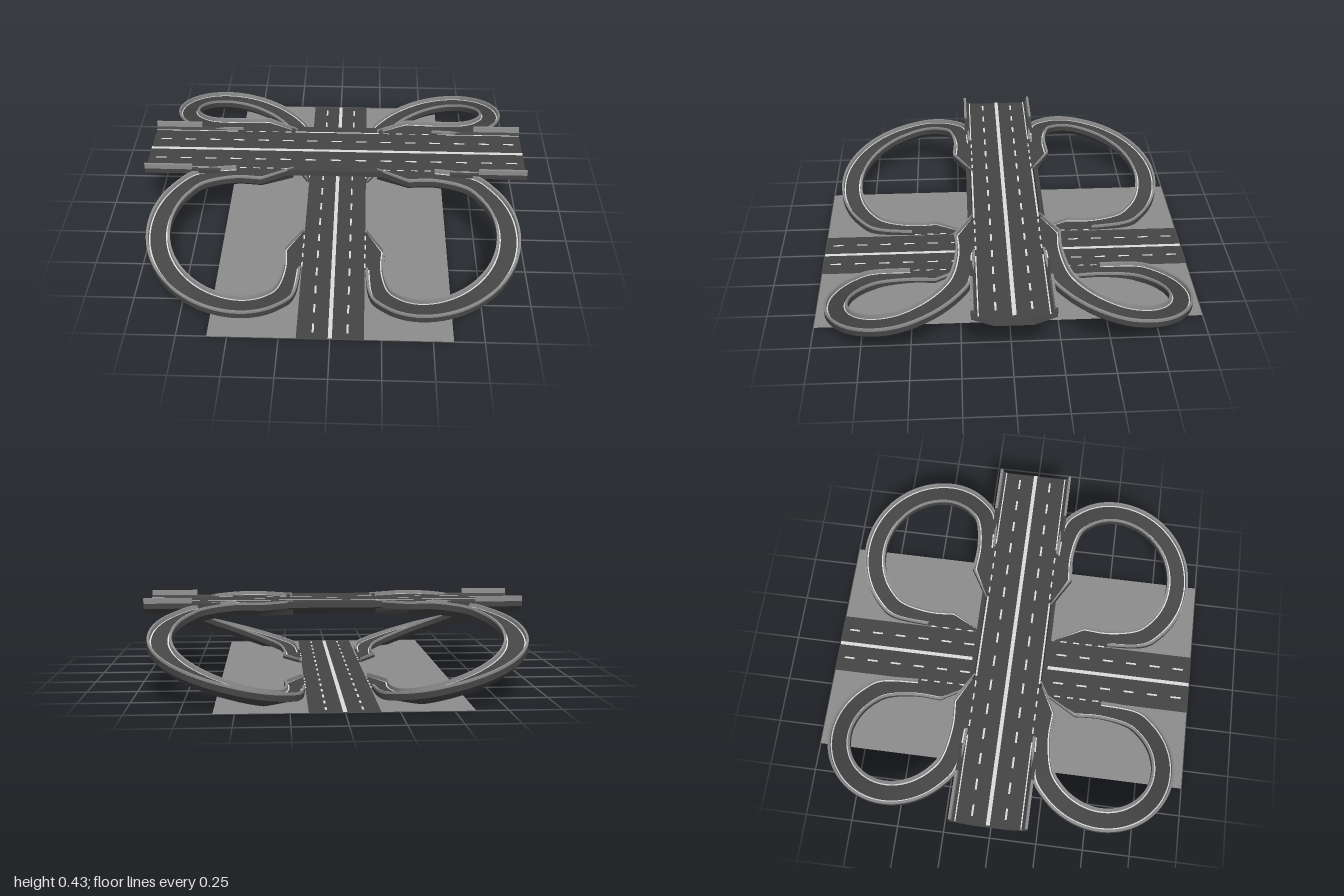
import * as THREE from 'three';

const mat = (name, color) => {
  const m = new THREE.MeshStandardMaterial({ color, side: THREE.DoubleSide });
  m.name = name;
  return m;
};

export function createModel() {
  const asphalt = mat('asphalt', 0x454545);
  const concrete = mat('concrete', 0x8c8c8c);
  const paint = mat('line paint', 0xdcdcdc);
  const root = new THREE.Group();
  const DECK = 0.39;

  const add = (parent, name, geo, m) => {
    const mesh = new THREE.Mesh(geo, m);
    mesh.name = name;
    parent.add(mesh);
    return mesh;
  };
  const group = (name) => {
    const g = new THREE.Group();
    g.name = name;
    root.add(g);
    return g;
  };
  // flat horizontal plate
  const plate = (parent, name, m, x0, x1, z0, z1, y) =>
    add(parent, name, new THREE.PlaneGeometry(x1 - x0, z1 - z0).rotateX(-Math.PI / 2)
      .translate((x0 + x1) / 2, y, (z0 + z1) / 2), m);
  // ribbon of quads between two polylines
  const ribbon = (parent, name, m, a, b) => {
    const pos = [], idx = [];
    a.forEach((p, i) => {
      pos.push(...p, ...b[i]);
      if (i) idx.push(2 * i - 2, 2 * i - 1, 2 * i, 2 * i - 1, 2 * i + 1, 2 * i);
    });
    const g = new THREE.BufferGeometry();
    g.setAttribute('position', new THREE.Float32BufferAttribute(pos, 3));
    g.setIndex(idx);
    g.computeVertexNormals();
    return add(parent, name, g, m);
  };
  // open section [z, y] swept straight along x
  const sweepX = (parent, name, m, x0, x1, section) => {
    for (let i = 0; i < section.length - 1; i++) {
      const [z0, y0] = section[i], [z1, y1] = section[i + 1];
      ribbon(parent, name, m, [[x0, y0, z0], [x1, y0, z0]], [[x0, y1, z1], [x1, y1, z1]]);
    }
  };

  // ground level road
  const ground = group('groundRoad');
  plate(ground, 'roadway', asphalt, -0.165, 0.165, -1, 1, 0);
  plate(ground, 'medianLine', paint, -0.01, 0.01, -1, 1, 0.003);
  for (const s of [-1, 1])
    plate(ground, 'verge', concrete, Math.min(s * 0.165, s * 0.6), Math.max(s * 0.165, s * 0.6), -1, 1, 0);

  // bridge
  const bridge = group('bridge');
  plate(bridge, 'deck', asphalt, -1, 1, -0.165, 0.165, DECK);
  plate(bridge, 'medianLine', paint, -1, 1, -0.01, 0.01, DECK + 0.003);
  sweepX(bridge, 'underside', asphalt, -1, 1,
    [[-0.2, 0.375], [-0.09, 0.33], [0.09, 0.33], [0.2, 0.375]]);
  for (const s of [-1, 1]) {
    // low kerb over the crossing
    sweepX(bridge, 'middleKerb', asphalt, -0.25, 0.25,
      [[s * 0.172, DECK], [s * 0.178, 0.407], [s * 0.2, 0.407], [s * 0.2, 0.375]]);
    sweepX(bridge, 'edgeLine', paint, -0.23, 0.23, [[s * 0.163, DECK + 0.003], [s * 0.172, DECK + 0.003]]);
    for (const e of [-1, 1]) {
      // barrier at the bridge ends
      sweepX(bridge, 'barrierFoot', asphalt, e * 0.6, e,
        [[s * 0.165, DECK], [s * 0.186, 0.405], [s * 0.2, 0.402], [s * 0.2, 0.375]]);
      sweepX(bridge, 'barrier', concrete, e * 0.75, e,
        [[s * 0.183, 0.402], [s * 0.187, 0.43], [s * 0.2, 0.43], [s * 0.2, 0.402]]);
      sweepX(bridge, 'edgeLine', paint, e * 0.55, e, [[s * 0.163, DECK + 0.003], [s * 0.17, DECK + 0.003]]);
    }
  }

  // dashed lane lines on both roads
  for (let i = 0; i < 15; i++) {
    const c = -0.9333 + i * 0.13333;
    for (const s of [-0.085, 0.085]) {
      plate(bridge, 'laneDash', paint, c - 0.029, c + 0.029, s - 0.005, s + 0.005, DECK + 0.003);
      plate(ground, 'laneDash', paint, s - 0.005, s + 0.005, c - 0.029, c + 0.029, 0.003);
    }
  }
  // short dashes where the ramps merge
  for (const s of [-1, 1]) for (const e of [-1, 1]) for (let i = 0; i < 4; i++) {
    const c = e * (0.27 + i * 0.072), d = s * 0.165;
    plate(bridge, 'mergeDash', paint, c - 0.017, c + 0.017, d - 0.004, d + 0.004, DECK + 0.004);
    plate(ground, 'mergeDash', paint, d - 0.004, d + 0.004, c - 0.017, c + 0.017, 0.008);
  }

  // ramp stations: outer and inner edges in plan, with road height
  const C = 0.54;
  const first = [[0.38, 0.165, 0.38, 0.272], [0.52, 0.168, 0.52, 0.266]];
  const swap = ([a, b, c, d]) => [b, a, d, c];
  const plan = [...first];
  for (let deg = -60; deg <= 150; deg += 15) {
    const t = deg * Math.PI / 180, c = Math.cos(t), s = Math.sin(t);
    plan.push([C + 0.4 * c, C + 0.4 * s, C + 0.28 * c, C + 0.28 * s]);
  }
  plan.push(swap(first[1]), swap(first[0]));
  const heights = [DECK, DECK, 0.37, 0.35, 0.328, 0.302, 0.272, 0.244, 0.215, 0.186, 0.157,
    0.128, 0.1, 0.073, 0.05, 0.032, 0.018, 0.006, 0.005];
  const curve = (k) => new THREE.CatmullRomCurve3(
    plan.map((p, i) => new THREE.Vector3(p[k], heights[i], p[k + 1])), false, 'centripetal');
  const outerCurve = curve(0), innerCurve = curve(2);
  const N = 108, outer = [], inner = [];
  const station = (o, i) => { outer.push(o); inner.push(i); };
  const v = (x, y, z) => new THREE.Vector3(x, y, z);
  station(v(0.22, DECK, 0.165), v(0.22, DECK, 0.177));
  for (let i = 0; i <= N; i++) station(outerCurve.getPoint(i / N), innerCurve.getPoint(i / N));
  station(v(0.165, 0.005, 0.22), v(0.177, 0.005, 0.22));
  const perSpan = N / (plan.length - 1);
  const kerbFrom = 1 + perSpan, kerbTo = 1 + N - perSpan;

  for (const sx of [-1, 1]) for (const sz of [-1, 1]) {
    const ramp = group('loopRamp');
    // polyline at distance d inside an edge, raised by h
    const line = (side, d, h) => outer.map((o, i) => {
      const f = Math.min(d / o.distanceTo(inner[i]), 0.5);
      const p = o.clone().lerp(inner[i], side === 'outer' ? f : 1 - f);
      return [sx * p.x, Math.max(p.y + h, 0.002), sz * p.z];
    });
    const span = (name, m, a, b, from = 0, to = outer.length) => {
      const A = a.slice(from, to), B = b.slice(from, to);
      return sx * sz > 0 ? ribbon(ramp, name, m, A, B) : ribbon(ramp, name, m, B, A);
    };
    span('rampRoad', asphalt, line('outer', 0, 0), line('inner', 0, 0));
    // fascia and tapered underside
    const ob = line('outer', 0, -0.02), ib = line('inner', 0, -0.02);
    const ok = line('outer', 0.032, -0.052), ik = line('inner', 0.032, -0.052);
    span('innerFascia', asphalt, line('inner', 0, 0.01), ib);
    span('outerFascia', asphalt, ob, line('outer', 0, 0.01), kerbFrom, kerbTo + 1);
    span('innerSoffit', asphalt, ib, ik);
    span('soffit', asphalt, ik, ok);
    span('outerSoffit', asphalt, ok, ob);
    // kerbs with a painted line along the road side
    for (const side of ['outer', 'inner']) {
      const range = side === 'outer' ? [kerbFrom, kerbTo + 1] : [];
      const rails = [[0, 0.01], [0, 0.022], [0.012, 0.022], [0.014, 0]].map(([d, h]) => line(side, d, h));
      for (let k = 0; k < 3; k++)
        side === 'outer' ? span('outerKerb', concrete, rails[k], rails[k + 1], ...range)
          : span('innerKerb', concrete, rails[k + 1], rails[k]);
      const l0 = line(side, 0.014, 0.003), l1 = line(side, 0.021, 0.003);
      side === 'outer' ? span('outerEdgeLine', paint, l0, l1, ...range) : span('innerEdgeLine', paint, l1, l0);
    }
  }
  return root;
}
